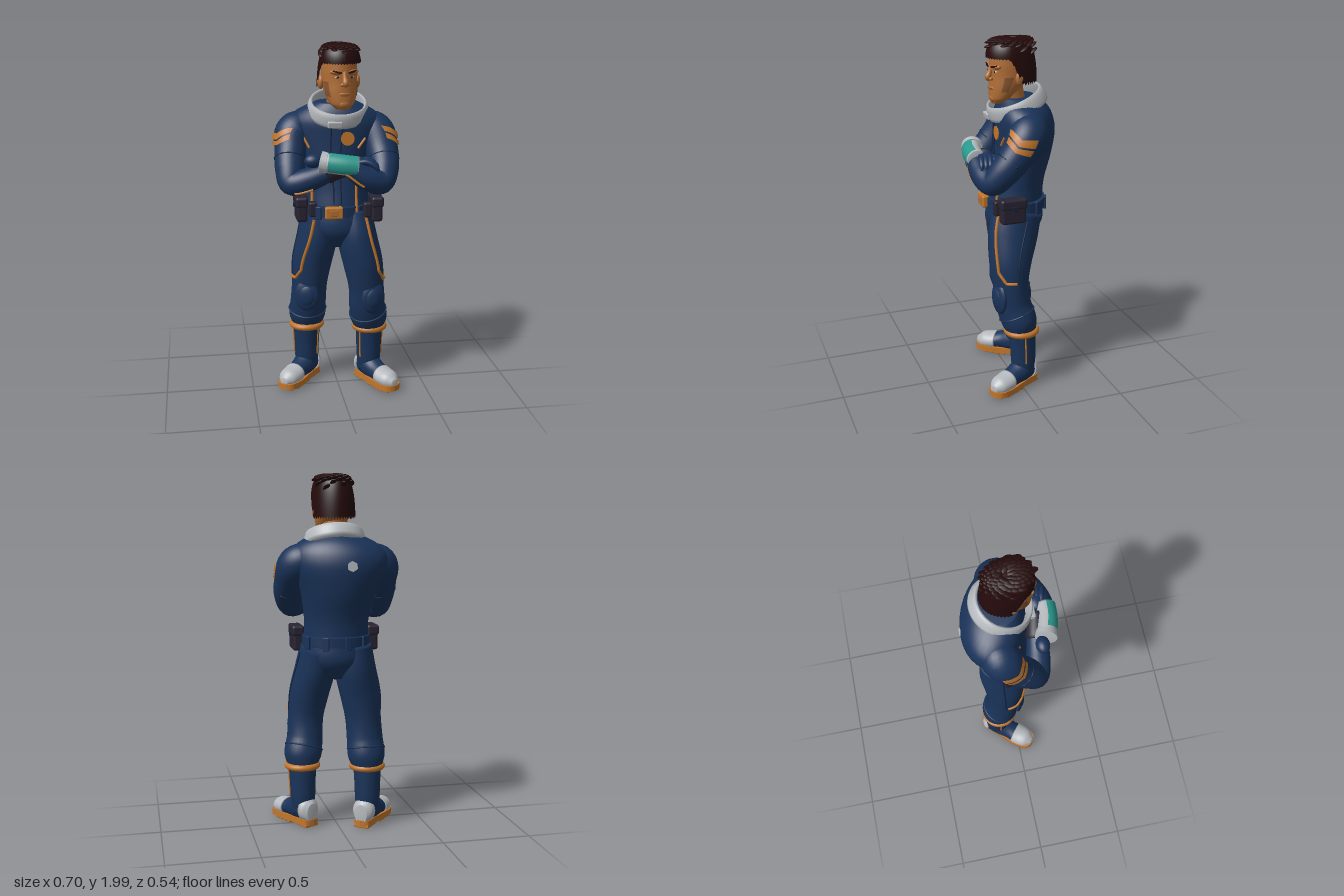
import * as THREE from 'three';
import { mergeGeometries } from 'three/addons/utils/BufferGeometryUtils.js';
import { RoundedBoxGeometry } from 'three/addons/geometries/RoundedBoxGeometry.js';

const TAU = Math.PI * 2, H = Math.PI / 2;
const V = (x, y, z) => new THREE.Vector3(x, y, z);
const paint = (name, color) => Object.assign(new THREE.MeshStandardMaterial({ color }), { name });

// Tapered body: each point is [x, y, z, side radius, front radius].
// axis fixes the ring direction, ref marks which way angle 90 degrees faces.
function limb(pts, { axis, ref = V(0, 0, 1) } = {}) {
  const n = pts.length - 1;
  const path = new THREE.CatmullRomCurve3(pts.map(p => V(p[0], p[1], p[2])));
  const radii = new THREE.CatmullRomCurve3(pts.map(p => V(p[3], p[4] ?? p[3], 0)), false, 'catmullrom');
  const frame = k => {
    const t = THREE.MathUtils.clamp(k / n, 0, 1), r = radii.getPoint(t);
    const d = axis ? axis.clone() : path.getTangent(t);
    const f = ref.clone().addScaledVector(d, -ref.dot(d)).normalize();
    return { c: path.getPoint(t), r, f, s: f.clone().cross(d) };
  };
  const at = (k, a, off = 0) => {
    const { c, r, f, s } = frame(k);
    return c.addScaledVector(s, Math.cos(a) * (r.x + off)).addScaledVector(f, Math.sin(a) * (r.y + off));
  };
  const normal = (k, a) => {
    const { r, f, s } = frame(k);
    return s.multiplyScalar(Math.cos(a) / r.x).addScaledVector(f, Math.sin(a) / r.y).normalize();
  };
  // Whole surface, or a thin patch of it when ranges are given; bend makes the patch a chevron
  const geo = (k0 = 0, k1 = n, a0 = 0, a1 = TAU, off = 0, bend = 0) => {
    const closed = a1 - a0 > 6.28, rows = Math.max(4, Math.ceil((k1 - k0) * 8)), cols = 32;
    const w = closed ? cols : cols + 1, pos = [], idx = [];
    for (let i = 0; i <= rows; i++)
      for (let j = 0; j < w; j++) {
        const k = k0 + (k1 - k0) * i / rows + bend * (1 - Math.abs(2 * j / cols - 1));
        pos.push(...at(k, a0 + (a1 - a0) * j / cols, off).toArray());
      }
    for (let i = 0; i < rows; i++)
      for (let j = 0; j < cols; j++) {
        const a = i * w + j, b = i * w + (j + 1) % w;
        idx.push(a, b, b + w, a, b + w, a + w);
      }
    if (closed) {
      const e = pos.length / 3, last = rows * w;
      pos.push(...frame(k0).c.toArray(), ...frame(k1).c.toArray());
      for (let j = 0; j < cols; j++) {
        const q = (j + 1) % cols;
        idx.push(e, q, j, e + 1, last + j, last + q);
      }
    }
    const g = new THREE.BufferGeometry();
    g.setAttribute('position', new THREE.Float32BufferAttribute(pos, 3));
    g.setIndex(idx);
    g.computeVertexNormals();
    return g;
  };
  return { at, normal, geo };
}

export function createModel() {
  const model = new THREE.Group();
  model.name = 'spaceCrewFigure';
  const navy = paint('suitNavy', 0x1a3359), seam = paint('seamNavy', 0x13233f), orange = paint('trimOrange', 0xc2762b),
    skin = paint('skin', 0xb06d35), stubble = paint('stubble', 0x83532f), hair = paint('hair', 0x250a0b),
    grey = paint('paleGrey', 0xb6babe), teal = paint('screenTeal', 0x2a988c), dark = paint('pouchDark', 0x282433);

  const add = (name, g, mat, parent = model) => {
    const m = new THREE.Mesh(g, mat);
    m.name = name;
    parent.add(m);
    return m;
  };
  const box = (name, w, h, d, x, y, z, mat, parent) => {
    const m = add(name, new RoundedBoxGeometry(w, h, d, 2, Math.min(w, h, d) * 0.25), mat, parent);
    m.position.set(x, y, z);
    return m;
  };
  const ball = (name, x, y, z, a, b, c, mat, parent) => {
    const m = add(name, new THREE.SphereGeometry(1, 24, 16), mat, parent);
    m.position.set(x, y, z);
    m.scale.set(a, b, c);
    return m;
  };
  // Raised piping that follows a limb through [k, angle] points
  const piping = (name, body, path, r, mat) => {
    const pts = [];
    for (let i = 0; i < path.length - 1; i++)
      for (let j = 0; j < 6; j++) {
        const u = j / 6, [p, q] = [path[i], path[i + 1]];
        pts.push(body.at(p[0] + (q[0] - p[0]) * u, p[1] + (q[1] - p[1]) * u, r * 0.2));
      }
    pts.push(body.at(...path.at(-1), r * 0.2));
    add(name, new THREE.TubeGeometry(new THREE.CatmullRomCurve3(pts), pts.length * 2, r, 8), mat);
  };
  const badge = (name, body, k, a, r, sides, mat) => {
    const m = add(name, new THREE.CylinderGeometry(r, r, 0.009, sides), mat);
    m.position.copy(body.at(k, a));
    m.quaternion.setFromUnitVectors(V(0, 1, 0), body.normal(k, a));
  };

  // Torso, turned at the shoulders
  const up = V(0, 1, 0);
  const torso = limb([[0, 0.86, -0.025, 0.1, 0.1], [0, 0.96, -0.03, 0.183, 0.16], [0, 1.08, -0.035, 0.183, 0.155],
    [0, 1.2, -0.05, 0.182, 0.15], [-0.008, 1.35, -0.08, 0.215, 0.163], [-0.008, 1.48, -0.092, 0.265, 0.17],
    [-0.006, 1.56, -0.085, 0.265, 0.163], [0, 1.618, -0.072, 0.215, 0.14], [0, 1.67, -0.05, 0.115, 0.1]],
  { axis: up, ref: V(-0.26, 0, 0.965).normalize() });
  add('torso', torso.geo(), navy);
  badge('chestBadge', torso, 5, H + 0.37, 0.038, 24, orange);
  badge('backBadge', torso, 5.2, 3 * H + 0.3, 0.03, 6, grey);
  for (const a of [0.02, 0.24]) piping('zipSeam', torso, [[2.3, H + a], [6.8, H + a]], 0.004, seam);
  for (const [a, k] of [[-0.75, 3.4], [0.75, 4.2]]) piping('waistPiping', torso, [[1.9, H + a], [k, H + a]], 0.008, orange);
  for (const a of [0.66, -0.5]) piping('chestPiping', torso, [[4.55, H + a], [5, H + a * 1.2]], 0.007, orange);

  // Belt, buckle and pouches
  const belt = limb([[0, 1.045, -0.035, 0.192, 0.165], [0, 1.105, -0.035, 0.192, 0.165]], { axis: up });
  add('belt', belt.geo(), navy);
  box('buckle', 0.1, 0.068, 0.04, -0.04, 1.077, 0.136, orange);
  box('buckleInset', 0.05, 0.034, 0.01, -0.04, 1.077, 0.155, skin);
  for (const a of [0.9, 2.2, 3.6, 4.25, 4.9, 5.5]) {
    const p = belt.at(0.5, a, 0.002);
    box('beltLoop', 0.035, 0.075, 0.016, p.x, p.y, p.z, navy).lookAt(p.clone().add(belt.normal(0.5, a)));
  }
  for (const s of [1, -1]) {
    const z = s > 0 ? 0.052 : 0;
    box('pouch', 0.062, 0.13, 0.14, s * 0.208, 1.075, z, dark);
    box('pouchFlap', 0.07, 0.06, 0.152, s * 0.21, 1.123, z, dark);
    box('pouchClasp', 0.01, 0.025, 0.025, s * 0.246, 1.1, z, seam);
    box('smallPouch', 0.045, 0.085, 0.05, s * 0.15, 1.085, z + 0.065, dark);
  }

  // Folded arms
  const armL = limb([[0.12, 1.535, -0.075, 0.08], [0.213, 1.5, -0.035, 0.107], [0.243, 1.4, 0.042, 0.092], [0.242, 1.315, 0.115, 0.082],
    [0.215, 1.255, 0.168, 0.071], [0.13, 1.28, 0.198, 0.066], [0.02, 1.345, 0.208, 0.045], [-0.08, 1.365, 0.185, 0.043]]);
  const armR = limb([[-0.13, 1.535, -0.1, 0.08], [-0.228, 1.498, -0.09, 0.107], [-0.26, 1.4, -0.025, 0.09], [-0.272, 1.31, 0.045, 0.082],
    [-0.267, 1.246, 0.095, 0.07], [-0.18, 1.265, 0.122, 0.066], [-0.05, 1.315, 0.138, 0.052], [0.05, 1.345, 0.155, 0.045]]);
  for (const [side, arm, out, lower] of [['left', armL, 0.5, [[5.1, 0.9], [6, 0.8]]], ['right', armR, Math.PI - 0.5, [[4.3, 2.3], [5.1, 2.4]]]]) {
    add(side + 'Arm', arm.geo(), navy);
    for (const k of [1.28, 1.58]) add(side + 'Chevron', arm.geo(k, k + 0.23, out - 0.82, out + 0.82, 0.007, 0.22), orange);
    piping(side + 'SleeveSeam', arm, [[2.45, 0], [2.45, TAU]], 0.004, seam);
    piping(side + 'ForearmPiping', arm, lower, 0.007, orange);
  }
  add('rightGloveCuff', armR.geo(5.75, 6.95, 0, TAU, 0.006), dark);

  // Wrist computer
  const gauntlet = limb([[0.08, 1.348, 0.212, 0.052, 0.05], [0, 1.358, 0.207, 0.053, 0.05], [-0.1, 1.37, 0.183, 0.052, 0.05]]);
  add('wristComputer', gauntlet.geo(), grey);
  add('wristScreen', gauntlet.geo(0.08, 1.75, 0.85, 3.05, 0.007), teal);
  add('wristRing', limb([[-0.085, 1.368, 0.185, 0.057], [-0.118, 1.374, 0.175, 0.06]]).geo(), grey);

  // Gloved hands
  ball('leftHand', -0.155, 1.375, 0.15, 0.05, 0.038, 0.038, navy);
  ball('rightPalm', 0.1, 1.36, 0.165, 0.05, 0.03, 0.042, navy);
  for (let i = 0; i < 4; i++) {
    const x = 0.13 - i * 0.006, z = 0.135 + i * 0.023;
    add('rightFinger', limb([[x - 0.03, 1.368, z - 0.01, 0.013], [x + 0.02, 1.37, z, 0.016],
      [x + 0.065, 1.345, z + 0.012, 0.014], [x + 0.08, 1.32, z + 0.016, 0.006]]).geo(), navy);
  }

  // Legs, kneepads, boots
  const legL = limb([[0.092, 1.04, -0.02, 0.105, 0.14], [0.11, 0.9, 0.015, 0.114, 0.142], [0.142, 0.75, 0.042, 0.113, 0.12],
    [0.16, 0.62, 0.045, 0.102, 0.1], [0.168, 0.5, 0.03, 0.103, 0.1], [0.184, 0.41, 0.004, 0.107, 0.1], [0.19, 0.345, -0.01, 0.085]]);
  const legR = limb([[-0.092, 1.04, -0.045, 0.105, 0.14], [-0.108, 0.9, -0.05, 0.114, 0.142], [-0.14, 0.75, -0.055, 0.113, 0.118],
    [-0.155, 0.62, -0.06, 0.102, 0.105], [-0.162, 0.5, -0.075, 0.103, 0.1], [-0.166, 0.41, -0.1, 0.106, 0.1], [-0.17, 0.345, -0.11, 0.085]]);
  const half = [[0.045, -0.075], [0.05, 0], [0.058, 0.08], [0.066, 0.16], [0.05, 0.232]];
  const outline = new THREE.Shape().moveTo(0, -0.095).splineThru([...half, [0, 0.255],
    ...half.map(([x, z]) => [-x, z]).reverse(), [0, -0.095]].map(p => new THREE.Vector2(...p)));
  for (const [side, leg, s, ax, az, yaw] of [['left', legL, 1, 0.19, -0.02, 0.48], ['right', legR, -1, -0.17, -0.11, -0.68]]) {
    const out = a => s > 0 ? a : Math.PI - a;
    add(side + 'Leg', leg.geo(), navy);
    piping(side + 'ThighPiping', leg, [[0.1, out(1.1)], [1.2, out(1)], [2.3, out(0.9)], [2.7, out(0.55)], [2.75, out(0)]], 0.009, orange);
    piping(side + 'ThighSeam', leg, [[0.3, out(-0.2)], [2.75, out(-0.1)]], 0.004, seam);
    piping(side + 'TrouserFold', leg, [[4.5, 0], [4.62, Math.PI], [4.5, TAU]], 0.005, navy);
    const knee = leg.at(3.4, out(1.3), -0.012);
    ball(side + 'KneePad', knee.x, knee.y, knee.z, 0.07, 0.095, 0.026, navy).rotation.y = yaw * 0.4;
    ball(side + 'KneePlate', knee.x, knee.y, knee.z + 0.009, 0.05, 0.066, 0.024, navy).rotation.y = yaw * 0.4;

    const shaft = limb([[ax, 0.36, az + 0.01, 0.08], [ax, 0.25, az + 0.003, 0.074], [ax, 0.15, az, 0.07], [ax, 0.07, az, 0.06]]);
    add(side + 'BootShaft', shaft.geo(), navy);
    for (const a of [0.1, 2.5]) piping(side + 'BootPiping', shaft, [[0.1, out(a)], [1.9, out(a)]], 0.005, orange);
    const cuff = add(side + 'BootCuff', new THREE.TorusGeometry(0.084, 0.019, 12, 40), orange);
    cuff.rotation.x = H;
    cuff.position.set(ax, 0.347, az + 0.012);

    const foot = new THREE.Group();
    foot.name = side + 'Boot';
    foot.position.set(ax, 0, az);
    foot.rotation.y = yaw;
    model.add(foot);
    const shoe = limb([[0, 0.08, -0.09, 0.03, 0.05], [0, 0.095, -0.06, 0.056, 0.062], [0, 0.095, 0.02, 0.064, 0.072],
      [0, 0.08, 0.09, 0.057, 0.056], [0, 0.07, 0.15, 0.062, 0.047], [0, 0.065, 0.21, 0.052, 0.042], [0, 0.058, 0.25, 0.018, 0.018]],
    { axis: V(0, 0, 1), ref: up });
    add('upper', shoe.geo(1, 4), navy, foot);
    add('toeCap', shoe.geo(3.6, 6, 0, TAU, 0.004), grey, foot);
    add('heelCounter', shoe.geo(0, 1.35, 0, TAU, 0.006), grey, foot);
    const sole = new THREE.ExtrudeGeometry(outline, { depth: 0.034, bevelEnabled: false, curveSegments: 40 });
    add('sole', sole.rotateX(H), orange, foot).position.y = 0.046;
    box('heelBlock', 0.09, 0.02, 0.11, 0, 0.01, -0.03, orange, foot);
    for (let i = 0; i < 5; i++) box('tread', 0.1 + (i < 4 ? 0.012 : -0.02), 0.018, 0.031, 0, 0.009, 0.07 + i * 0.036, orange, foot);
  }

  // Neck ring, a thin band flaring downwards and rising at the back
  const ring = [[0.15, -0.045], [0.17, -0.04], [0.173, -0.02], [0.166, 0.015], [0.158, 0.036], [0.149, 0.04], [0.143, 0.03], [0.14, -0.03], [0.15, -0.045]];
  const collar = add('collar', new THREE.LatheGeometry(ring.map(p => new THREE.Vector2(...p)), 56), grey);
  collar.position.set(0.008, 1.638, -0.038);
  collar.rotation.x = 0.39;
  box('collarLatch', 0.08, 0.035, 0.025, -0.03, 1.563, 0.112, grey).rotation.x = 0.2;
  add('neck', limb([[0.005, 1.58, -0.035, 0.08], [0.01, 1.66, -0.015, 0.07], [0.01, 1.75, 0, 0.07]]).geo(), skin);

  // Head
  const head = new THREE.Group();
  head.name = 'head';
  head.position.set(0.01, 0, 0);
  head.rotation.y = 0.12;
  model.add(head);
  const face = limb([[0, 1.642, 0.068, 0.036, 0.036], [0, 1.67, 0.055, 0.066, 0.06], [0, 1.73, 0.024, 0.09, 0.09],
    [0, 1.79, -0.004, 0.097, 0.116], [0, 1.86, -0.006, 0.097, 0.118], [0, 1.92, -0.006, 0.085, 0.108], [0, 1.96, -0.01, 0.04, 0.06]], { axis: up });
  add('face', face.geo(), skin, head);
  for (const s of [1, -1]) {
    const c = s > 0 ? Math.PI - 0.42 : 0.42;
    add('jawStubble', face.geo(1.7, 3.0, c - 0.22, c + 0.22, 0.002), stubble, head);
    ball('ear', s * 0.103, 1.782, -0.012, 0.018, 0.038, 0.025, skin, head);
    ball('brow', s * 0.042, 1.842, 0.096, 0.038, 0.014, 0.018, skin, head).rotation.z = s * 0.15;
    box('eyebrow', 0.05, 0.01, 0.008, s * 0.043, 1.846, 0.112, hair, head).rotation.set(0, s * 0.3, s * 0.18);
    ball('eye', s * 0.04, 1.817, 0.1, 0.013, 0.006, 0.008, grey, head);
    ball('pupil', s * 0.039, 1.817, 0.106, 0.007, 0.006, 0.004, hair, head);
    ball('nostril', s * 0.015, 1.778, 0.118, 0.012, 0.01, 0.013, skin, head);
  }
  add('nose', limb([[0, 1.845, 0.106, 0.012], [0, 1.81, 0.117, 0.014], [0, 1.785, 0.128, 0.017], [0, 1.77, 0.12, 0.01]]).geo(), skin, head);
  ball('lips', 0, 1.725, 0.104, 0.032, 0.014, 0.014, skin, head);
  box('mouthLine', 0.05, 0.004, 0.006, 0, 1.726, 0.116, stubble, head);
  ball('chin', 0, 1.672, 0.096, 0.036, 0.026, 0.022, skin, head);

  // Hair cap with a hairline that rises at the front, and swept tufts on the crown
  const hairAt = (v, a) => {
    const front = Math.cos(a), low = 1.745 + 0.14 * THREE.MathUtils.smoothstep(front, -0.15, 0.5);
    const r = Math.pow(Math.max(0, Math.cos(v * H)), 0.42);
    return V(Math.sin(a) * 0.12 * r, low + (1.985 - low) * Math.sin(v * H), -0.012 + front * 0.143 * r);
  };
  const cap = new THREE.SphereGeometry(1, 48, 24), pos = cap.attributes.position, uv = cap.attributes.uv;
  for (let i = 0; i < pos.count; i++) pos.setXYZ(i, ...hairAt(uv.getY(i), uv.getX(i) * TAU).toArray());
  cap.computeVertexNormals();
  add('hairCap', cap, hair, head);
  const tufts = [], o = new THREE.Object3D();
  for (let i = 0; i < 90; i++) {
    const v = 0.45 + 0.53 * Math.sqrt(i / 90), a = i * 2.39996;
    o.position.copy(hairAt(v, a));
    o.lookAt(hairAt(v - 0.1, a).add(V(0, 0.005, 0.04)));
    o.scale.set(0.018, 0.008, 0.034);
    o.updateMatrix();
    tufts.push(new THREE.SphereGeometry(1, 10, 8).applyMatrix4(o.matrix));
  }
  add('hairTufts', mergeGeometries(tufts), hair, head);
  return model;
}
